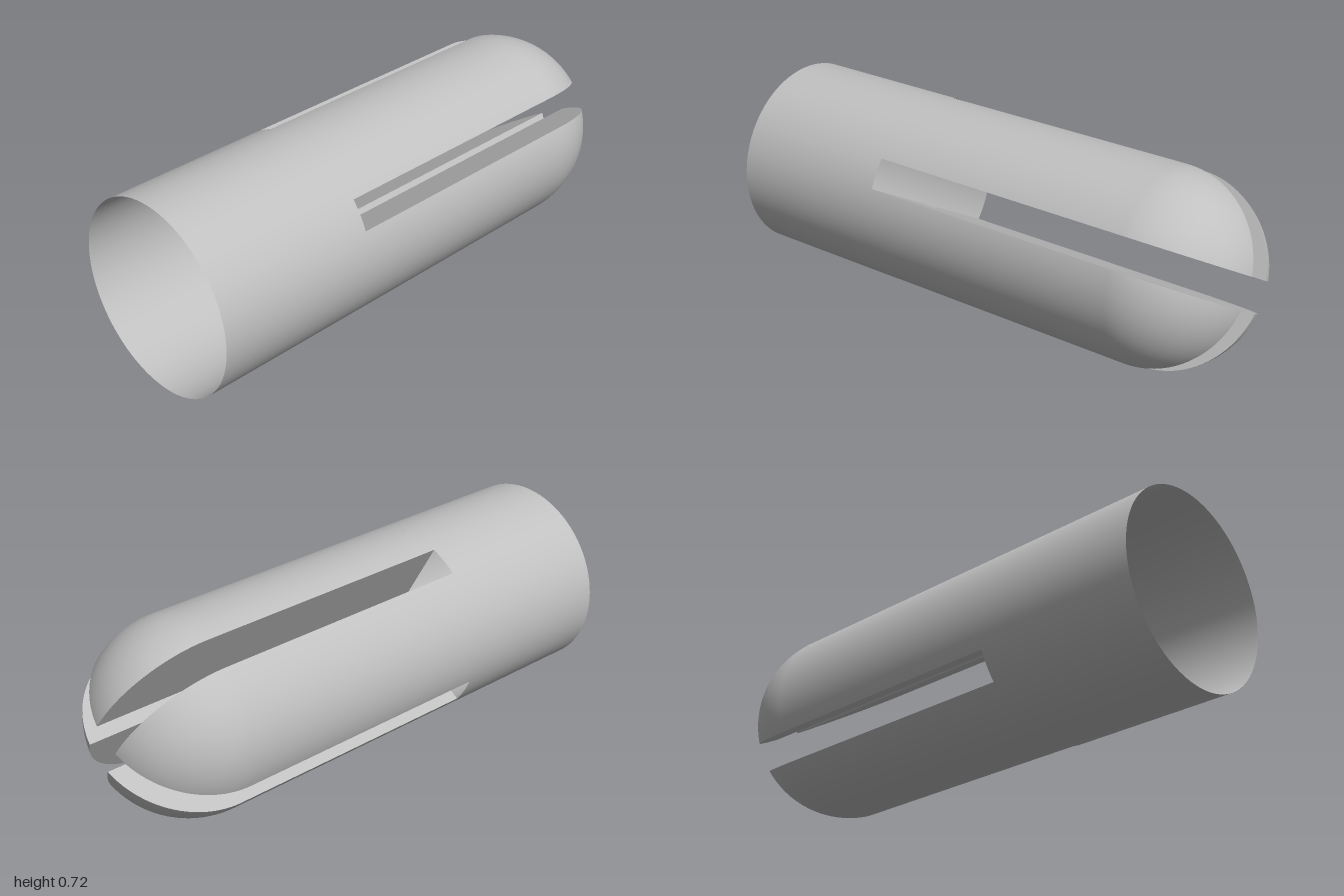
import * as THREE from 'three';

const R = 0.3585;      // body radius
const H = 0.0573;      // half width of the slots
const BACK = -1;       // open end
const SLOT = -0.37;    // where the slots begin
const DOME = 0.651;    // centre of the domed nose
const ARC = 24, AROUND = 28;

// Profile of a finger from the slot end to the tip: x, radius and slope angle
function profile() {
  const end = Math.acos((H * Math.SQRT2) / R);
  const rows = [{ x: SLOT, r: R, phi: 0 }];
  for (let i = 0; i <= ARC; i++) {
    const phi = (end * i) / ARC;
    rows.push({ x: DOME + R * Math.sin(phi), r: R * Math.cos(phi), phi });
  }
  return rows;
}

// Curved outer skin of one finger, narrowing as the slots close in on the axis
function skinGeometry(rows) {
  const pos = [], nor = [], idx = [];
  rows.forEach(({ x, r, phi }, i) => {
    const a0 = Math.asin(Math.min(1, H / r));
    for (let j = 0; j <= AROUND; j++) {
      const a = a0 + ((Math.PI / 2 - 2 * a0) * j) / AROUND;
      const c = Math.cos(a), s = Math.sin(a);
      pos.push(x, r * c, r * s);
      nor.push(Math.sin(phi), Math.cos(phi) * c, Math.cos(phi) * s);
      if (i < rows.length - 1 && j < AROUND) {
        const p = i * (AROUND + 1) + j, q = p + AROUND + 1;
        idx.push(p, p + 1, q, p + 1, q + 1, q);
      }
    }
  });
  const g = new THREE.BufferGeometry();
  g.setAttribute('position', new THREE.Float32BufferAttribute(pos, 3));
  g.setAttribute('normal', new THREE.Float32BufferAttribute(nor, 3));
  g.setIndex(idx);
  return g;
}

// Flat slot wall, bounded by the finger outline
function wallGeometry(rows) {
  const pts = rows.map(({ x, r }) => new THREE.Vector2(x, Math.sqrt(Math.max(r * r - H * H, H * H))));
  pts.push(new THREE.Vector2(SLOT, H));
  return new THREE.ShapeGeometry(new THREE.Shape(pts));
}

export function createModel() {
  const model = new THREE.Group();
  model.name = 'slottedSleeve';
  const grey = new THREE.MeshStandardMaterial({ color: 0xc0c0c0, side: THREE.DoubleSide });
  grey.name = 'light grey';

  const add = (parent, geometry, name) => {
    const mesh = new THREE.Mesh(geometry, grey);
    mesh.name = name;
    parent.add(mesh);
    return mesh;
  };

  // Open tube at the back
  const tube = new THREE.CylinderGeometry(R, R, SLOT - BACK, 128, 1, true);
  tube.rotateZ(-Math.PI / 2).translate((SLOT + BACK) / 2, 0, 0);
  add(model, tube, 'tube');

  // Four fingers separated by a cross of slots
  const rows = profile();
  const skin = skinGeometry(rows);
  const wallA = wallGeometry(rows).translate(0, 0, H);
  const wallB = wallGeometry(rows).rotateX(Math.PI / 2).translate(0, H, 0);
  for (let k = 0; k < 4; k++) {
    const finger = new THREE.Group();
    finger.name = 'finger' + (k + 1);
    finger.rotation.x = Math.PI / 3 + (k * Math.PI) / 2;
    add(finger, skin, 'fingerSkin');
    add(finger, wallA, 'slotWallA');
    add(finger, wallB, 'slotWallB');
    model.add(finger);
  }

  model.position.y = R;
  const root = new THREE.Group();
  root.name = 'model';
  root.add(model);
  return root;
}
